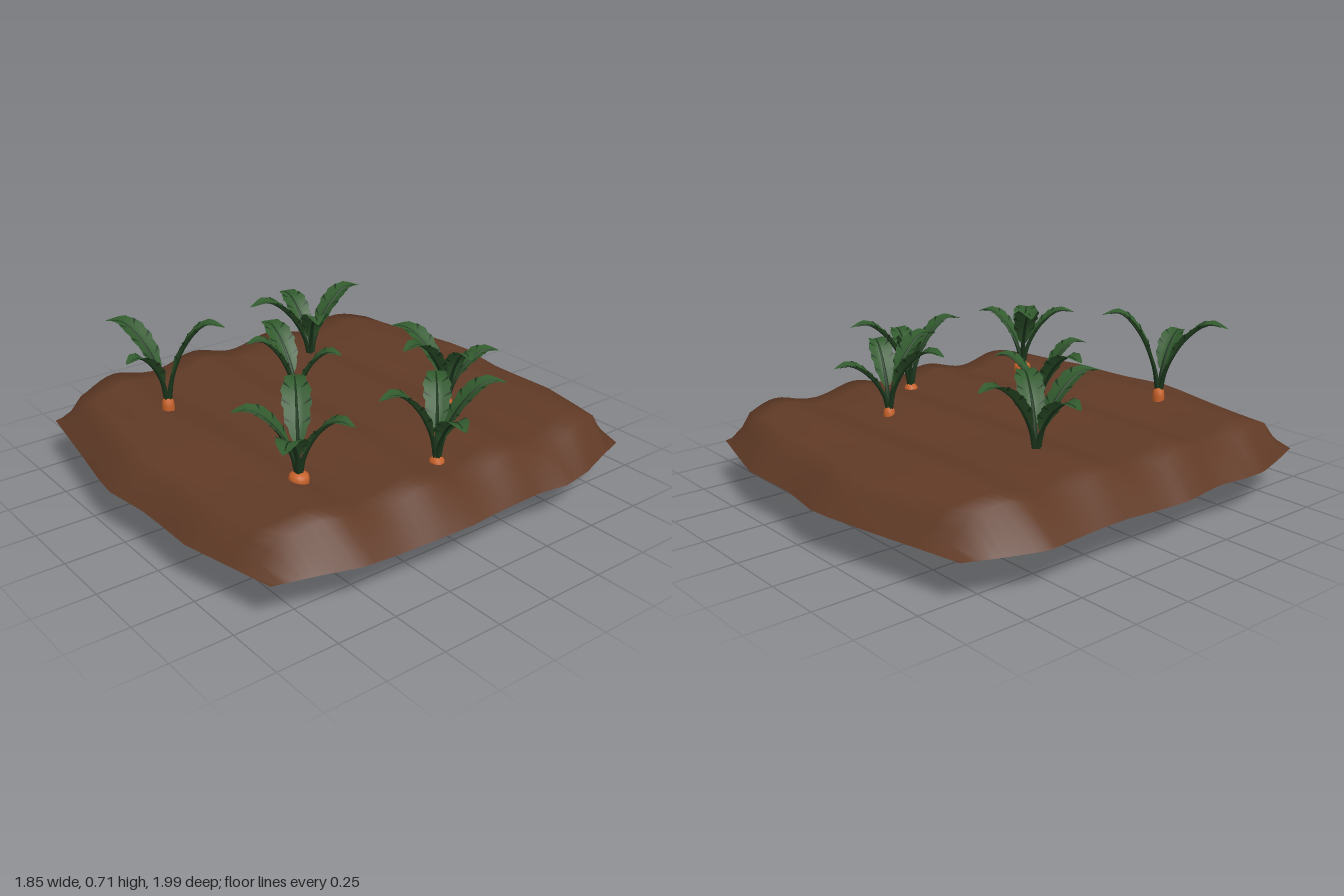
import * as THREE from 'three';

const mat = (name, color, side = THREE.FrontSide) => {
  const m = new THREE.MeshStandardMaterial({ color, side });
  m.name = name;
  return m;
};
const soilMat = mat('soil brown', 0x603a26, THREE.DoubleSide);
const carrotMat = mat('carrot orange', 0xc8622a);
const leafMat = mat('leaf green', 0x325a2e, THREE.DoubleSide);
const veinMat = mat('vein dark green', 0x1b361c, THREE.DoubleSide);

// Bends a plane into the surface f(u, v), with u and v from 0 to 1
function surface(nu, nv, f) {
  const g = new THREE.PlaneGeometry(1, 1, nu, nv);
  const p = g.attributes.position;
  for (let i = 0; i < p.count; i++) {
    const q = f(p.getX(i) + 0.5, p.getY(i) + 0.5);
    p.setXYZ(i, q.x, q.y, q.z);
  }
  g.computeVertexNormals();
  return g;
}

function add(parent, name, geometry, material) {
  const mesh = new THREE.Mesh(geometry, material);
  mesh.name = name;
  parent.add(mesh);
  return mesh;
}

// Linear lookup in a list of [position, value]
function lerpList(list, x) {
  for (let i = 1; i < list.length; i++) {
    const [x0, y0] = list[i - 1], [x1, y1] = list[i];
    if (x <= x1) return y0 + (y1 - y0) * Math.max(0, (x - x0) / (x1 - x0));
  }
  return list[list.length - 1][1];
}

// Outline of the bed: half widths along z and half depths along x
const rightEdge = [[-1, 0.8], [-0.66, 0.9], [-0.5, 0.92], [-0.35, 0.9], [0.08, 0.925], [0.35, 0.91], [0.64, 0.9], [1, 0.8]];
const leftEdge = [[-1, 0.81], [-0.66, 0.92], [-0.2, 0.905], [0.13, 0.925], [0.35, 0.905], [0.5, 0.92], [0.64, 0.915], [1, 0.81]];
const backEdge = [[-1, 0.87], [-0.5, 0.95], [-0.15, 1], [0.15, 0.96], [0.5, 0.965], [1, 0.86]];
const frontEdge = [[-1, 0.88], [-0.5, 0.95], [-0.15, 1], [0.15, 0.968], [0.5, 0.968], [1, 0.88]];

function soilPoint(u, v) {
  const a = u * 2 - 1, b = 1 - v * 2;
  const x = a * lerpList(a < 0 ? leftEdge : rightEdge, b);
  const z = b * lerpList(b < 0 ? backEdge : frontEdge, a);
  // Four planting ridges, falling to the rim all around
  const ridge = 0.32 + 0.021 * Math.cos((z - 0.2) / 0.42 * Math.PI * 2 + 0.25 * Math.sin(x * 4));
  const top = ridge - 0.018 * x * x + 0.003 * Math.sin(x * 7 + z * 3);
  const rim = 0.18 + 0.004 * Math.sin(z * 9 + x * 2);
  const k = Math.min(1, (1 - Math.max(Math.abs(a), Math.abs(b))) / 0.125);
  return new THREE.Vector3(x, rim + (top - rim) * k, z);
}

function carrotGeometry(r, h) {
  const profile = [[0, 0], [0.18, 0.03], [0.5, 0.3], [0.8, 0.6], [0.97, 0.8], [1, 0.88], [0.88, 0.95], [0.5, 0.99], [0, 1]];
  return new THREE.LatheGeometry(profile.map(([x, y]) => new THREE.Vector2(x * r, y * h)), 12);
}

// One leaf arching from the crown to its tip
function makeLeaf(base, tip) {
  const leaf = new THREE.Group();
  leaf.name = 'leaf';
  const out = new THREE.Vector3(tip.x - base.x, 0, tip.z - base.z);
  const reach = out.length(), rise = tip.y - base.y;
  const dir = out.clone().normalize();
  const side = new THREE.Vector3(dir.z, 0, -dir.x);
  const steps = [[0.02, -0.06], [0.1, 0.3], [0.36, 0.76], [0.7, 1.03], [1, 1]];
  const path = new THREE.CatmullRomCurve3(steps.map(([o, y]) =>
    base.clone().addScaledVector(out, o).setY(base.y + rise * y)));
  const halfWidth = 0.035 + reach * 0.085;

  // Blade outline with toothed lobes
  const width = (t) => {
    const tooth = 1 - 0.2 * ((t * 5) % 1);
    return halfWidth * Math.pow(Math.max(0, Math.sin(Math.PI * Math.pow(t, 0.95))), 0.75) * tooth + 0.002;
  };
  const up = (t) => new THREE.Vector3().crossVectors(path.getTangentAt(t), side).normalize();
  const blade = (t, s, lift = 0) => {
    const c = 0.24 + 0.76 * t, w = width(t) * s;
    return path.getPointAt(c).addScaledVector(side, w)
      .addScaledVector(up(c), Math.abs(w) * 0.28 + lift);
  };
  add(leaf, 'leafBlade', surface(20, 4, (u, v) => blade(u, v * 2 - 1)), leafMat);

  // Stalk tapering into the midrib
  add(leaf, 'leafStalk', surface(16, 5, (u, v) => {
    const t = u * 0.93, r = 0.009 * (1 - u) + 0.0025, a = v * Math.PI * 2;
    return path.getPointAt(t).addScaledVector(side, Math.cos(a) * r)
      .addScaledVector(up(t), Math.sin(a) * r);
  }), veinMat);

  // Slim side veins, wider at the leaf edge
  const pts = [];
  for (const s of [-1, 1]) {
    for (const t of [0.3, 0.5, 0.7]) {
      for (const lift of [0.003, -0.003]) {
        pts.push(blade(t - 0.06, 0.35 * s, lift), blade(t - 0.02, 0.97 * s, lift), blade(t + 0.015, 0.97 * s, lift));
      }
    }
  }
  const veins = new THREE.BufferGeometry().setFromPoints(pts);
  veins.computeVertexNormals();
  add(leaf, 'leafVeins', veins, veinMat);
  return leaf;
}

// Each plant: position, root tip, crown height, radius and leaf tips
const plants = [
  { x: -0.455, z: -0.22, low: 0.01, top: 0.33, r: 0.032,
    tips: [[-0.45, 0.6, -0.5], [-0.72, 0.55, -0.25], [-0.51, 0.6, 0.06], [-0.22, 0.57, -0.09]] },
  { x: 0.305, z: -0.36, low: 0.04, top: 0.35, r: 0.025,
    tips: [[0.38, 0.53, -0.57], [0.03, 0.6, -0.28], [0.32, 0.62, -0.1], [0.5, 0.59, -0.3]] },
  { x: 0.625, z: -0.015, low: 0.03, top: 0.315, r: 0.032,
    tips: [[0.73, 0.59, -0.26], [0.85, 0.52, 0.06], [0.57, 0.59, 0.23], [0.43, 0.56, -0.17]] },
  { x: -0.085, z: 0.125, low: 0.14, top: 0.352, r: 0.039,
    tips: [[-0.36, 0.59, 0.1], [0.07, 0.55, 0.01], [-0.16, 0.6, 0.32]] },
  { x: -0.32, z: 0.6, low: 0.09, top: 0.39, r: 0.026,
    tips: [[-0.15, 0.7, 0.42], [-0.58, 0.67, 0.72], [-0.27, 0.6, 0.8]] },
  { x: 0.47, z: 0.52, low: 0.13, top: 0.356, r: 0.04,
    tips: [[0.24, 0.62, 0.37], [0.67, 0.58, 0.42], [0.66, 0.56, 0.72], [0.32, 0.59, 0.71]] },
];

export function createModel() {
  const model = new THREE.Group();
  model.name = 'carrotBed';
  add(model, 'soil', surface(16, 48, soilPoint), soilMat);

  for (const { x, z, low, top, r, tips } of plants) {
    const plant = new THREE.Group();
    plant.name = 'carrotPlant';
    add(plant, 'carrot', carrotGeometry(r, top - low), carrotMat).position.set(x, low, z);
    const crown = new THREE.Vector3(x, top, z);
    for (const tip of tips) plant.add(makeLeaf(crown, new THREE.Vector3(...tip)));
    model.add(plant);
  }
  return model;
}
